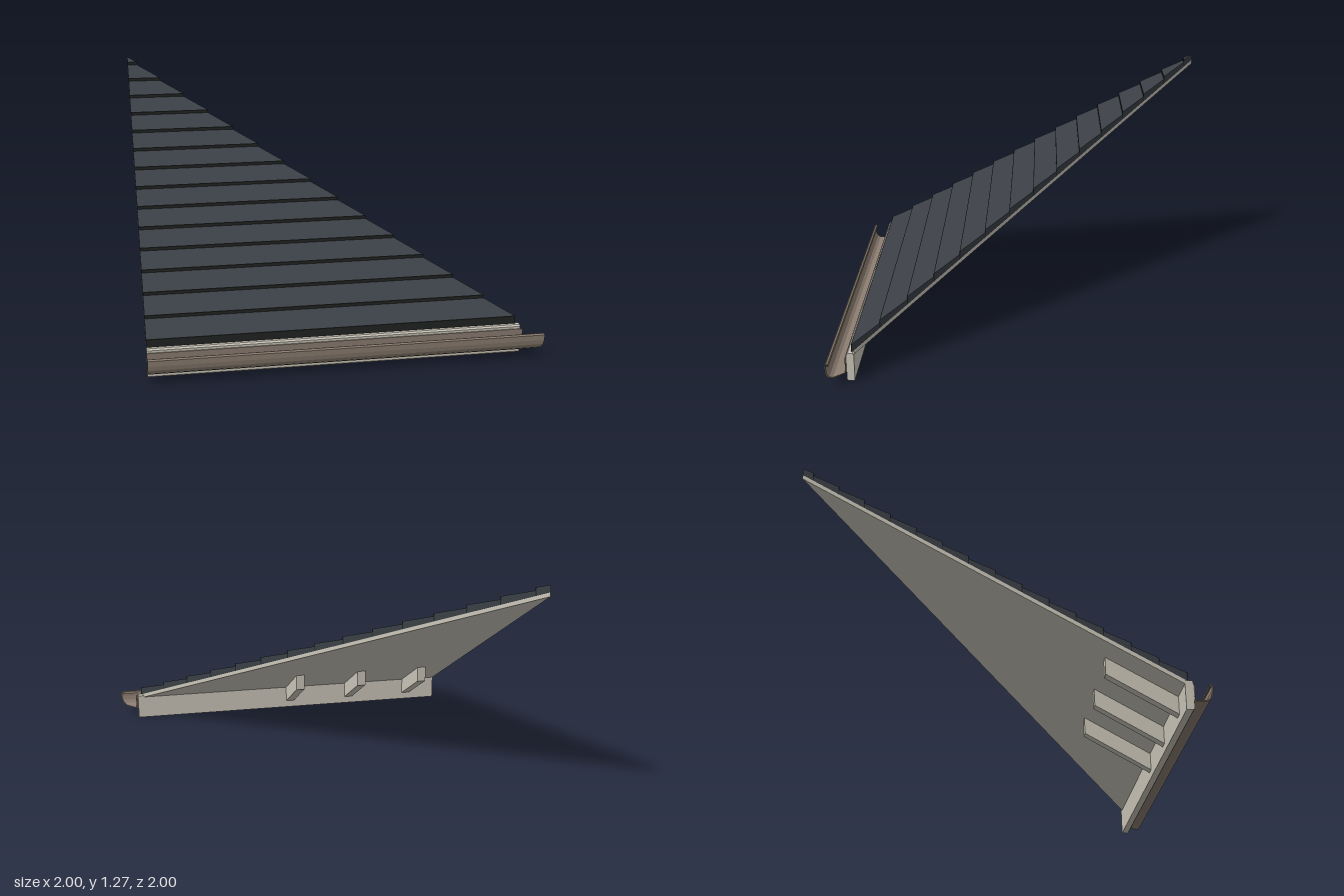
import * as THREE from 'three';

const LEFT = -1;      // straight end of the roof section
const SLOPE = 0.575;  // rise per unit of depth
const ROWS = 15;
const PITCH = 0.1303;

const slate = new THREE.MeshStandardMaterial({ color: 0x3b4046 });
slate.name = 'slate';
const slateEdge = new THREE.MeshStandardMaterial({ color: 0x212423 });
slateEdge.name = 'darkSlateEdge';
const timber = new THREE.MeshStandardMaterial({ color: 0xcdc8bb });
timber.name = 'paleTimber';
const gutterBrown = new THREE.MeshStandardMaterial({ color: 0x8f8073 });
gutterBrown.name = 'gutterBrown';

// Height of the deck's underside and top at depth z
const under = (z) => 1.205 - SLOPE * (z + 1);
const deckTop = (z) => under(z) + 0.022;

// Sweep a [z, y] profile along x; the right end is square at a number or mitred by a rule of z
function prism(name, profile, material, x0, x1) {
  const shape = new THREE.Shape(profile.map(([z, y]) => new THREE.Vector2(-z, y)));
  const geo = new THREE.ExtrudeGeometry(shape, { depth: 1, bevelEnabled: false });
  geo.rotateY(Math.PI / 2);
  const p = geo.attributes.position;
  for (let i = 0; i < p.count; i++) {
    const end = typeof x1 === 'function' ? x1(p.getZ(i)) : x1;
    p.setX(i, p.getX(i) > 0.5 ? end : x0);
  }
  geo.computeVertexNormals();
  const mesh = new THREE.Mesh(geo, material);
  mesh.name = name;
  return mesh;
}

// Thicken an open [z, y] line into a closed sheet profile
function sheet(line, t) {
  const sides = [[], []];
  line.forEach(([z, y], i) => {
    const a = line[Math.max(i - 1, 0)];
    const b = line[Math.min(i + 1, line.length - 1)];
    const len = Math.hypot(b[0] - a[0], b[1] - a[1]);
    const nz = -(b[1] - a[1]) / len * t / 2;
    const ny = (b[0] - a[0]) / len * t / 2;
    sides[0].push([z + nz, y + ny]);
    sides[1].unshift([z - nz, y - ny]);
  });
  return [...sides[0], ...sides[1]];
}

export function createModel() {
  const model = new THREE.Group();
  model.name = 'hipRoofCorner';
  const mitre = (z) => z;

  // Sloping triangular deck
  model.add(prism('roofDeck', [
    [0.87, under(0.87)], [-1, under(-1)], [-1, deckTop(-1)], [0.87, deckTop(0.87)],
  ], timber, LEFT, mitre));

  // Overlapping slate rows, each with a dark front edge
  const rows = new THREE.Group();
  rows.name = 'slateRows';
  for (let i = 0; i < ROWS; i++) {
    const front = 0.88 - i * PITCH;
    const back = Math.max(front - PITCH, -1);
    const top = (z) => 0.19 + i * 0.075 + (front - z) * 0.45;
    const slab = (a, b) => [[a, deckTop(a)], [b, deckTop(b)], [b, top(b)], [a, top(a)]];
    const lip = front - 0.004;
    rows.add(prism('slateRow', slab(lip, back), slate, LEFT, mitre));
    rows.add(prism('slateRowEdge', slab(front, lip), slateEdge, LEFT, mitre));
  }
  model.add(rows);

  // Fascia board with a softened top
  model.add(prism('fasciaBoard', [
    [0.865, 0], [0.865, 0.142], [0.873, 0.15], [0.897, 0.15],
    [0.905, 0.142], [0.905, 0.006], [0.899, 0],
  ], timber, LEFT, 0.9));

  // Rafter tails under the deck
  for (const x of [-0.82, -0.44, -0.06]) {
    model.add(prism('rafterTail', [
      [0.866, under(0.866)], [0.866, 0.04], [0.515, 0.243], [0.515, under(0.515)],
    ], timber, x - 0.025, x + 0.025));
  }

  // Open gutter with a rolled lip, mitred at the corner
  model.add(prism('gutter', sheet([
    [0.908, 0.13], [0.908, 0.075], [0.909, 0.047], [0.935, 0.046], [0.965, 0.047],
    [0.982, 0.058], [0.992, 0.076], [0.996, 0.098], [0.997, 0.126],
    [0.992, 0.131], [0.987, 0.13], [0.985, 0.118],
  ], 0.006), gutterBrown, LEFT, mitre));

  return model;
}
